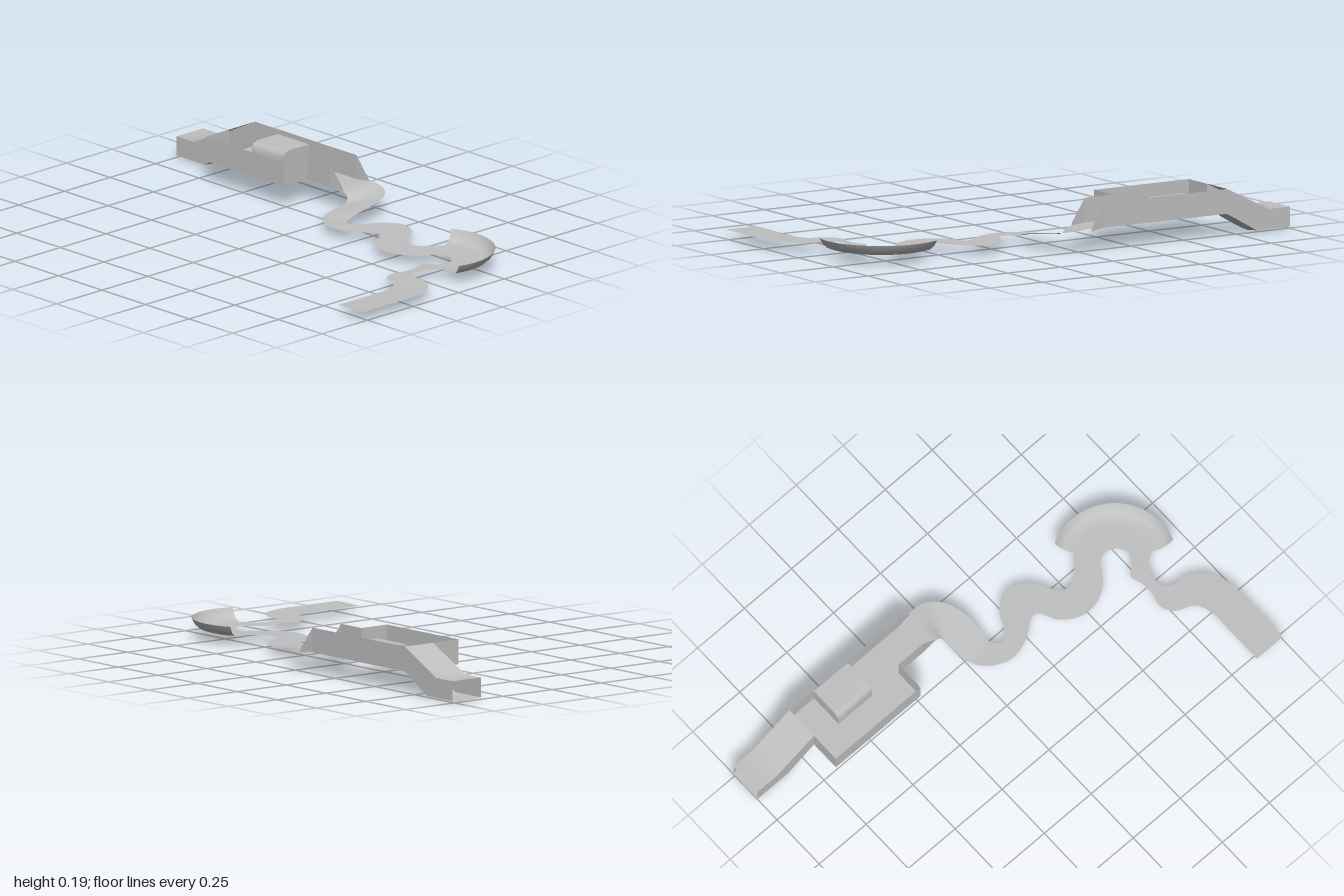
import * as THREE from 'three';

const grey = new THREE.MeshStandardMaterial({ color: 0xc0c0c0, side: THREE.DoubleSide });
grey.name = 'light grey';

// Skin joining rows of points, every row having the same number of points.
function sheet(name, rows) {
  const n = rows[0].length, index = [];
  for (let i = 0; i < rows.length - 1; i++) {
    for (let j = 0; j < n - 1; j++) {
      const a = i * n + j, b = a + n;
      index.push(a, a + 1, b, b, a + 1, b + 1);
    }
  }
  const geo = new THREE.BufferGeometry();
  geo.setAttribute('position', new THREE.Float32BufferAttribute(rows.flat(2), 3));
  geo.setIndex(index);
  geo.computeVertexNormals();
  const mesh = new THREE.Mesh(geo, grey);
  mesh.name = name;
  return mesh;
}

// Flat horizontal panel
const panel = (name, x0, x1, z0, z1, y) =>
  sheet(name, [[[x0, y, z0], [x0, y, z1]], [[x1, y, z0], [x1, y, z1]]]);

// Upright wall between two plan points
const wall = (name, x0, z0, x1, z1, lo, hi) =>
  sheet(name, [[[x0, lo, z0], [x1, lo, z1]], [[x0, hi, z0], [x1, hi, z1]]]);

const BACK = -0.51, MID = -0.365, FRONT = -0.235, LO = 0.09, HI = 0.19;

function entryTunnel() {
  const g = new THREE.Group();
  g.name = 'entryTunnel';
  // x, floor height, roof height
  const sections = [[-1, 0.01, 0.09], [-0.9, 0.01, 0.09], [-0.84, 0.01, 0.12], [-0.7, LO, HI]];
  g.add(sheet('tunnelRoof', sections.map(([x, , t]) => [[x, t, BACK], [x, t, MID]])));
  g.add(sheet('tunnelFloor', sections.map(([x, b], i) => {
    const dip = i < 3 ? 0.008 : 0;
    return [[x, b, BACK], [x, b - dip, (BACK + MID) / 2], [x, b, MID]];
  })));
  for (const z of [BACK, MID]) {
    g.add(sheet('tunnelSide', sections.map(([x, b, t]) => [[x, b, z], [x, t, z]])));
  }
  return g;
}

function chamber() {
  const g = new THREE.Group();
  g.name = 'openChamber';
  const x0 = -0.57, x1 = -0.39, top = 0.17;
  // Floor around the hollow block
  g.add(panel('chamberFloor', -0.7, x0, BACK, MID, LO));
  g.add(panel('chamberFloor', x1, -0.12, BACK, MID, LO));
  g.add(panel('chamberFloor', -0.7, -0.25, MID, FRONT, LO));
  // Block with a softened front edge
  const profile = [[BACK, top], [MID - 0.03, top], [MID - 0.01, top - 0.008], [MID, top - 0.03], [MID, LO]];
  g.add(sheet('blockSkin', [x0, x1].map(x => profile.map(([z, y]) => [x, y, z]))));
  for (const x of [x0, x1]) {
    g.add(sheet('blockSide', [profile.map(([z]) => [x, LO, z]), profile.map(([z, y]) => [x, y, z])]));
  }
  // Surrounding walls
  g.add(wall('backWall', -0.7, BACK, -0.12, BACK, LO, HI));
  g.add(wall('frontWall', -0.7, FRONT, -0.25, FRONT, LO, HI));
  g.add(wall('leftEndWall', -0.7, MID, -0.7, FRONT, LO, HI));
  g.add(wall('stepWall', -0.25, FRONT, -0.25, MID, LO, HI));
  g.add(wall('exitWall', -0.25, MID, -0.12, MID, LO, HI));
  // Walls tapering down to the track
  for (const z of [BACK, MID]) {
    g.add(sheet('taperWall', [
      [[-0.12, LO, z], [-0.05, 0.082, z - 0.008]],
      [[-0.12, HI, z], [-0.055, 0.1, z - 0.008]],
    ]));
  }
  return g;
}

function windingTrack() {
  // Outer edge x, z then inner edge x, z
  const plan = [
    [-0.12, -0.51, -0.12, -0.365], [-0.05, -0.523, -0.035, -0.37], [0.03, -0.515, -0.02, -0.365],
    [0.09, -0.46, -0.015, -0.35], [0.12, -0.37, -0.012, -0.31], [0.12, -0.29, -0.005, -0.25],
    [0.12, -0.24, 0.03, -0.18], [0.15, -0.205, 0.13, -0.125], [0.19, -0.22, 0.23, -0.145],
    [0.23, -0.3, 0.3, -0.195], [0.31, -0.355, 0.325, -0.205], [0.4, -0.32, 0.35, -0.19],
    [0.445, -0.25, 0.38, -0.13], [0.48, -0.205, 0.45, -0.08], [0.52, -0.2, 0.52, -0.07],
    [0.56, -0.22, 0.61, -0.11], [0.59, -0.26, 0.655, -0.17], [0.64, -0.31, 0.68, -0.2],
    [0.73, -0.32, 0.72, -0.21], [0.81, -0.28, 0.76, -0.19], [0.86, -0.2, 0.78, -0.15],
    [0.86, -0.1, 0.76, -0.105], [0.81, -0.06, 0.72, -0.07], [0.785, 0, 0.735, -0.01],
    [0.785, 0.04, 0.735, 0.05], [0.82, 0.07, 0.722, 0.1], [0.88, 0.075, 0.75, 0.155],
    [0.96, 0.13, 0.83, 0.195], [0.995, 0.22, 0.858, 0.26], [0.998, 0.37, 0.86, 0.37],
    [0.998, 0.525, 0.86, 0.525],
  ];
  // Heights of the banked descent; level afterwards
  const outerY = [0.09, 0.095, 0.088, 0.08, 0.07, 0.055];
  const innerY = [0.09, 0.08, 0.065, 0.053, 0.045, 0.04];
  const outer = new THREE.CatmullRomCurve3(plan.map((p, i) => new THREE.Vector3(p[0], outerY[i] ?? 0.04, p[1])));
  const inner = new THREE.CatmullRomCurve3(plan.map((p, i) => new THREE.Vector3(p[2], innerY[i] ?? 0.038, p[3])));
  const rows = [], steps = (plan.length - 1) * 5;
  for (let i = 0; i <= steps; i++) {
    const a = outer.getPoint(i / steps), b = inner.getPoint(i / steps);
    const mid = a.clone().lerp(b, 0.5);
    rows.push([a, mid, b].map(v => v.toArray()));
  }
  return sheet('windingTrack', rows);
}

function bankedCurve() {
  // Radius and height across the bank
  const profile = [[0.165, 0.038], [0.2, 0.04], [0.222, 0.046], [0.24, 0.062], [0.252, 0.085]];
  const start = -2.07, end = 0.33, steps = 40, rows = [];
  for (let i = 0; i <= steps; i++) {
    const a = start + (end - start) * i / steps;
    rows.push(profile.map(([r, y]) => [0.7 + r * Math.cos(a), y, -0.14 + r * Math.sin(a)]));
  }
  return sheet('bankedCurve', rows);
}

export function createModel() {
  const model = new THREE.Group();
  model.name = 'slideTrack';
  model.add(entryTunnel(), chamber(), windingTrack(), bankedCurve());
  return model;
}
